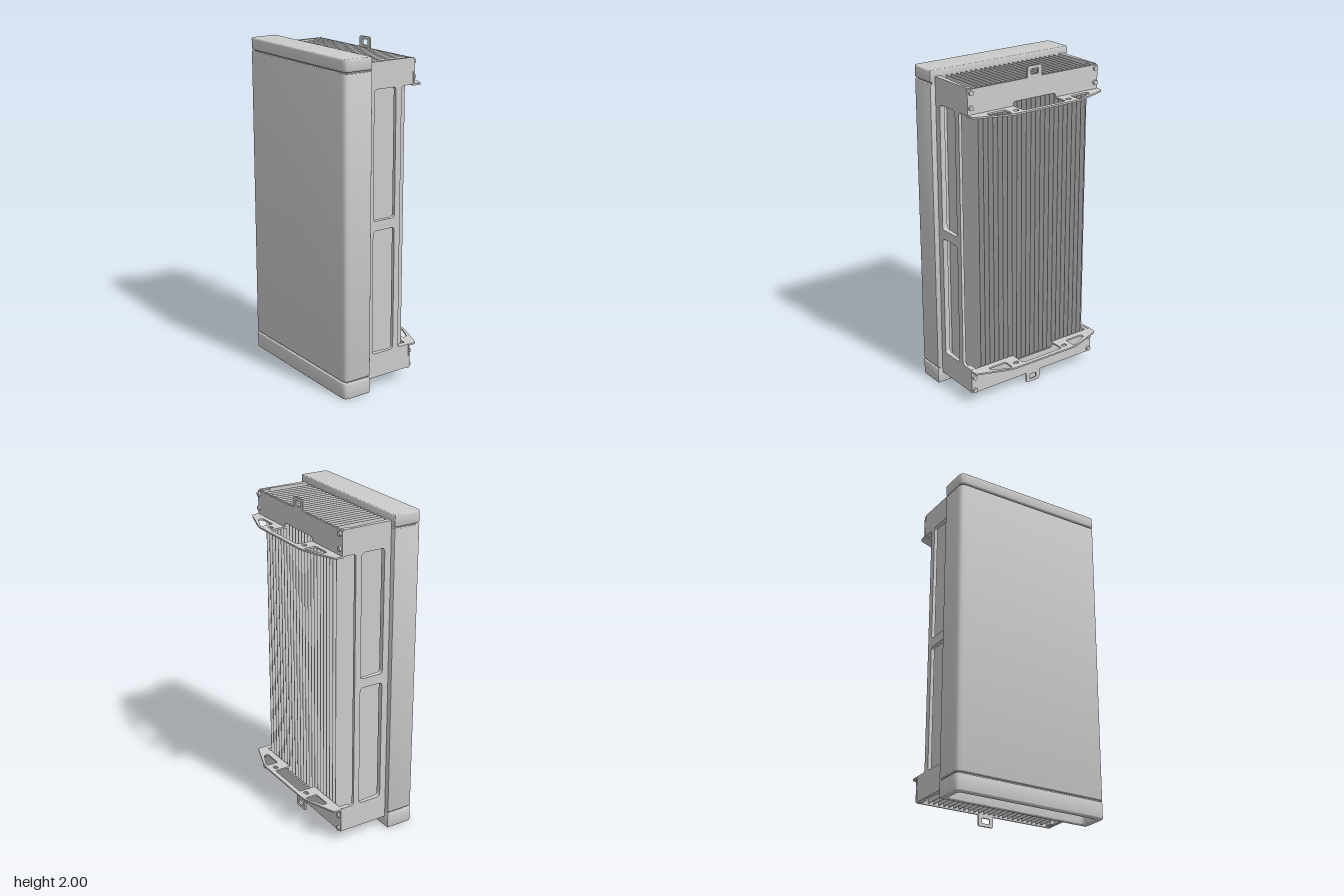
import * as THREE from 'three';
import { toCreasedNormals } from 'three/addons/utils/BufferGeometryUtils.js';

const material = new THREE.MeshStandardMaterial({ color: 0xcccccc });
const socketMaterial = new THREE.MeshStandardMaterial({ color: 0xcccccc, side: THREE.DoubleSide });

function add(parent, name, geometry, x = 0, y = 0, z = 0) {
  const mesh = new THREE.Mesh(geometry, material);
  mesh.name = name;
  mesh.position.set(x, y, z);
  parent.add(mesh);
  return mesh;
}

// Closed outline whose corners are rounded by r (or by a per-point third value)
function outline(points, r = 0, Type = THREE.Shape) {
  const path = new Type();
  const n = points.length;
  points.forEach((p, i) => {
    const c = new THREE.Vector2(p[0], p[1]);
    const toward = (q) => {
      const d = new THREE.Vector2(q[0], q[1]).sub(c);
      return d.setLength(Math.min(p[2] ?? r, d.length() * 0.45)).add(c);
    };
    const a = toward(points[(i + n - 1) % n]);
    const b = toward(points[(i + 1) % n]);
    if (i === 0) path.moveTo(a.x, a.y);
    else path.lineTo(a.x, a.y);
    if ((p[2] ?? r) > 0) path.quadraticCurveTo(c.x, c.y, b.x, b.y);
  });
  path.closePath();
  return path;
}

const rect = (x0, y0, x1, y1) => [[x0, y0], [x1, y0], [x1, y1], [x0, y1]];
const hole = (points, r) => outline(points, r, THREE.Path);
const flipX = (points) => points.map(([x, y, ...r]) => [-x, y, ...r]).reverse();

// Extrusion with an optional bevel kept inside the given depth
function extrude(shape, depth, bevel = 0) {
  const g = new THREE.ExtrudeGeometry(shape, {
    depth: depth - 2 * bevel, bevelEnabled: bevel > 0, bevelThickness: bevel,
    bevelSize: bevel, bevelOffset: -bevel, bevelSegments: 3, curveSegments: 8,
  });
  g.translate(0, 0, bevel);
  return toCreasedNormals(g, 0.6);
}

// Plan outline (x, -z) extruded upwards from y = 0
const upright = (shape, height, bevel) => extrude(shape, height, bevel).rotateX(-Math.PI / 2);

// Cover plan with rounded front corners
const coverPlan = (inset = 0) => outline([
  [-0.487 + inset, -0.307 + inset, 0.035], [0.487 - inset, -0.307 + inset, 0.035],
  [0.487 - inset, -0.128, 0.004], [-0.487 + inset, -0.128, 0.004],
]);

function createBracket() {
  const bracket = new THREE.Group();

  // Upright plate with tab and a shallow centre cutout
  const plate = outline([
    [-0.457, 1.781], [-0.148, 1.781], [-0.148, 1.815, 0.015], [0.148, 1.815, 0.015],
    [0.148, 1.781], [0.457, 1.781], [0.457, 1.935, 0.01], [0.05, 1.935],
    [0.05, 2, 0.012], [-0.05, 2, 0.012], [-0.05, 1.935], [-0.457, 1.935, 0.01],
  ]);
  plate.holes.push(hole(rect(-0.026, 1.95, 0.026, 1.982), 0.006));
  add(bracket, 'bracketPlate', extrude(plate, 0.01), 0, 0, -0.19);

  // Flange reaching backwards, with lightening holes
  const half = [[0.457, 0.18], [0.457, 0.235, 0.015], [0.24, 0.312, 0.04]];
  const flange = outline([
    [0.148, 0.18], ...half, ...flipX(half),
    [-0.148, 0.18], [-0.148, 0.285, 0.015], [0.148, 0.285, 0.015],
  ]);
  const large = [[0.232, 0.22], [0.355, 0.22], [0.355, 0.248], [0.255, 0.293], [0.232, 0.293]];
  const small = rect(0.167, 0.25, 0.201, 0.275);
  for (const points of [large, small]) {
    flange.holes.push(hole(points, 0.012), hole(flipX(points), 0.012));
  }
  add(bracket, 'bracketFlange', upright(flange, 0.01), 0, 1.781, 0);

  // Bolts at the plate ends
  const bolt = new THREE.CylinderGeometry(0.014, 0.014, 0.014, 16).rotateX(Math.PI / 2);
  for (const x of [-0.437, 0.437]) {
    for (const y of [1.83, 1.915]) add(bracket, 'bracketBolt', bolt, x, y, -0.196);
  }
  return bracket;
}

function createSide() {
  const side = new THREE.Group();

  // Frame drawn as (-z, y), open towards the back between the corners
  const frame = outline([
    [-0.128, 0.07], [0.18, 0.07], [0.18, 0.22], [0.1, 0.22, 0.02],
    [0.1, 1.787, 0.02], [0.18, 1.787], [0.18, 1.94], [-0.128, 1.94],
  ]);
  frame.holes.push(hole(rect(-0.088, 0.22, 0.062, 0.974), 0.022));
  frame.holes.push(hole(rect(-0.088, 1.032, 0.062, 1.787), 0.022));
  const geometry = extrude(frame, 0.025).rotateY(Math.PI / 2).translate(0.43, 0, 0);

  // Inner face leans inwards towards the front
  const p = geometry.attributes.position;
  for (let i = 0; i < p.count; i++) {
    if (p.getX(i) < 0.44) p.setX(i, 0.429 - 0.068 * p.getZ(i));
  }
  add(side, 'sideFrame', toCreasedNormals(geometry, 0.6));

  // Corner posts that take the bracket bolts
  const post = outline([
    [0.437, 0.12], [0.453, 0.12], [0.453, 0.181], [0.42, 0.181], [0.42, 0.13],
  ]);
  for (const y of [0.072, 1.79]) add(side, 'cornerPost', upright(post, 0.148), 0, y);
  return side;
}

export function createModel() {
  const model = new THREE.Group();
  model.name = 'radioUnit';

  // Front cover with its two end caps and the recessed core seen in the gaps
  const cover = new THREE.Group();
  cover.name = 'frontCover';
  model.add(cover);
  add(cover, 'coverPanel', upright(coverPlan(), 1.79, 0.004), 0, 0.108);
  add(cover, 'coverCore', upright(coverPlan(0.012), 1.815), 0, 0.098);
  add(cover, 'topCap', upright(coverPlan(), 0.072, 0.008), 0, 1.905);
  const bottom = coverPlan();
  bottom.holes.push(hole(rect(-0.45, -0.27, 0.45, -0.15), 0.025));
  add(cover, 'bottomCap', upright(bottom, 0.1, 0.007));

  // Connectors inside the recess of the bottom cap
  const socket = new THREE.LatheGeometry([
    [0, 0.03], [0.02, 0.03], [0.02, 0], [0.036, 0], [0.036, 0.025], [0.043, 0.025], [0.043, 0.06],
  ].map(([x, y]) => new THREE.Vector2(x, y)), 24);
  const sockets = toCreasedNormals(socket, 0.6);
  const pin = new THREE.CylinderGeometry(0.007, 0.007, 0.035, 12);
  for (let i = 0; i < 6; i++) {
    const x = 0.32 - i * 0.11;
    add(cover, 'connector', sockets, x, 0.04, 0.21).material = socketMaterial;
    add(cover, 'connectorPin', pin, x, 0.06, 0.21);
  }
  add(cover, 'groundScrew', new THREE.CylinderGeometry(0.018, 0.018, 0.06, 6), -0.39, 0.07, 0.21);

  // Heat sink fins; the outermost ones show through the side windows
  const fins = new THREE.Group();
  fins.name = 'coolingFins';
  model.add(fins);
  const fin = new THREE.BoxGeometry(0.003, 1.865, 0.31);
  for (let i = 0; i < 24; i++) add(fins, 'fin', fin, (i - 11.5) * 0.0331, 1.005, -0.025);

  // Sides and brackets; each is symmetric enough to be turned round for its twin
  const left = createSide();
  left.name = 'leftSide';
  const right = createSide();
  right.name = 'rightSide';
  right.rotation.z = Math.PI;
  right.position.y = 2.008;
  const top = createBracket();
  top.name = 'topBracket';
  const low = createBracket();
  low.name = 'bottomBracket';
  low.rotation.z = Math.PI;
  low.position.y = 2;
  model.add(left, right, top, low);
  return model;
}
